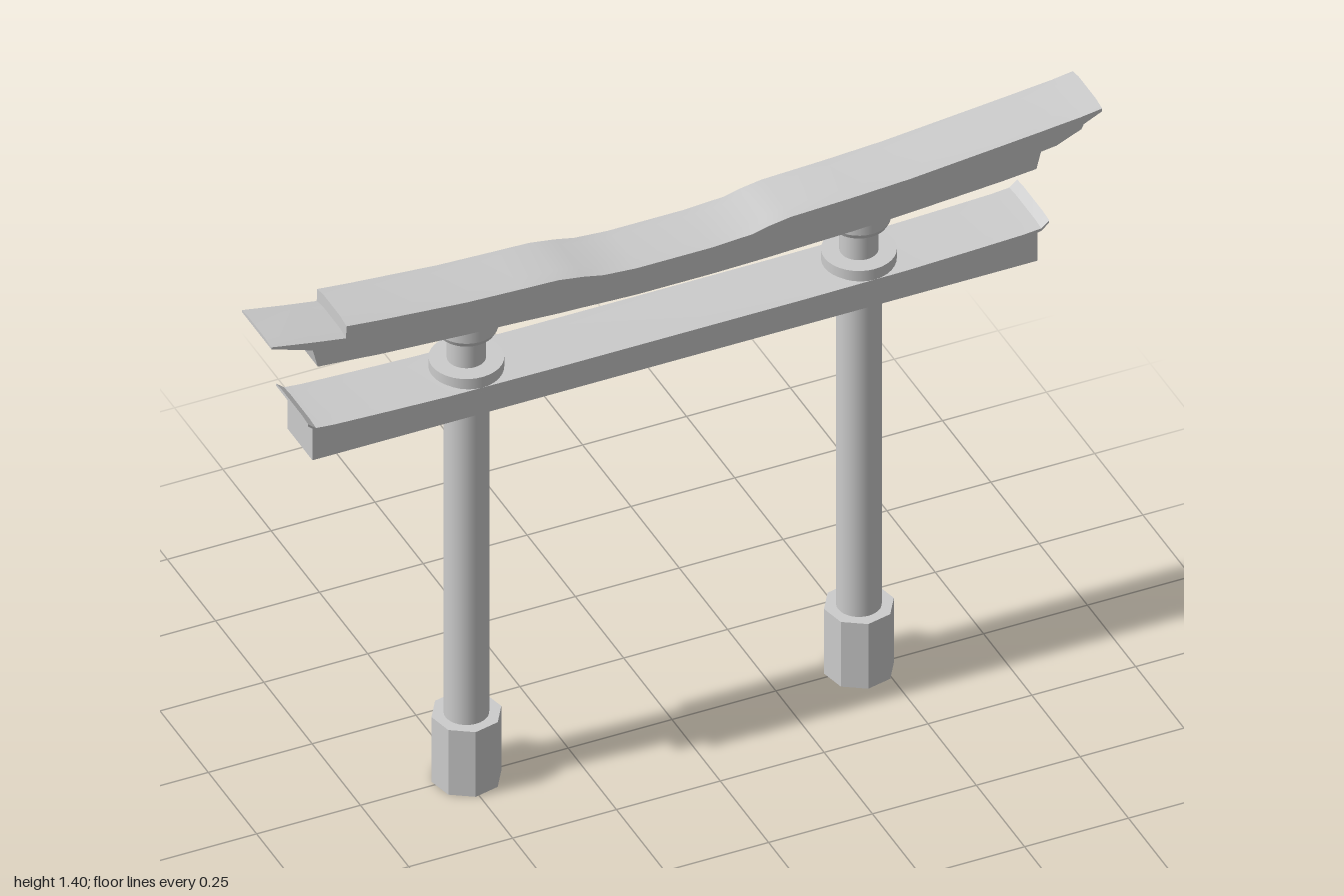
import * as THREE from 'three';
import { toCreasedNormals } from 'three/addons/utils/BufferGeometryUtils.js';

const material = new THREE.MeshStandardMaterial({ color: 0xcccccc });

function add(parent, name, geometry, x = 0, y = 0, z = 0) {
  const mesh = new THREE.Mesh(geometry, material);
  mesh.name = name;
  mesh.position.set(x, y, z);
  parent.add(mesh);
  return mesh;
}

// Lofts a beam along x from stations [x, top, bottom]; the top is slightly crowned.
function beam(stations, depth, crown) {
  const points = [];
  for (const [x, top, bottom] of stations) {
    const c = Math.min(crown, (top - bottom) / 2);
    const section = [
      [-depth, bottom], [depth, bottom], [depth, top - c], [depth * 0.6, top - c * 0.2],
      [-depth * 0.6, top - c * 0.2], [-depth, top - c],
    ];
    for (const [z, y] of section) points.push(x, y, z);
  }
  const n = 6, last = (stations.length - 1) * n, index = [];
  for (let i = 0; i < stations.length - 1; i++) {
    for (let j = 0; j < n; j++) {
      const a = i * n + j, b = i * n + (j + 1) % n;
      index.push(a, b + n, b, a, a + n, b + n);
    }
  }
  for (let k = 1; k < n - 1; k++) index.push(0, k, k + 1, last, last + k + 1, last + k);
  const geometry = new THREE.BufferGeometry();
  geometry.setAttribute('position', new THREE.Float32BufferAttribute(points, 3));
  geometry.setIndex(index);
  return toCreasedNormals(geometry, 0.6);
}

function cylinder(radius, bottom, top, sides = 32, start = 0, lower = radius) {
  const geometry = new THREE.CylinderGeometry(radius, lower, top - bottom, sides, 1, false, start);
  return geometry.translate(0, (top + bottom) / 2, 0);
}

export function createModel() {
  const model = new THREE.Group();
  model.name = 'gate';

  // Two posts, each with an octagonal foot, a collar, a neck and a capital
  for (const [side, x] of [['right', -0.495], ['left', 0.45]]) {
    const post = new THREE.Group();
    post.name = side + 'Post';
    post.position.x = x;
    model.add(post);
    const foot = cylinder(0.079, 0, 0.175, 8, THREE.MathUtils.degToRad(35)).toNonIndexed();
    foot.computeVertexNormals();
    add(post, 'foot', foot);
    add(post, 'column', cylinder(0.05, 0.17, 1.03));
    add(post, 'collar', cylinder(0.083, 1.095, 1.136));
    add(post, 'neck', cylinder(0.043, 1.13, 1.22));
    add(post, 'capitalBase', cylinder(0.07, 1.21, 1.222, 32, 0, 0.064));
    add(post, 'capital', cylinder(0.07, 1.222, 1.256));
  }

  // Lower tie beam and its thin upturned cap, symmetrical about their own middle
  const middle = -0.0225;
  const half = [
    [0.892, 1.142, 1.132], [0.873, 1.126, 1.115], [0.83, 1.122, 1.108],
    [0.7, 1.117, 1.102], [0.55, 1.112, 1.097], [0.3, 1.11, 1.093],
  ];
  const capStations = [
    ...half.map(([d, t, b]) => [middle - d, t, b]),
    ...half.map(([d, t, b]) => [middle + d, t, b]).reverse(),
  ];
  add(model, 'tieBeamCap', beam(capStations, 0.083, 0.004));
  const tieStations = capStations.slice(1, -1).map(([x, , b]) => [x, b + 0.003, 1.022]);
  add(model, 'tieBeam', beam(tieStations, 0.064, 0));

  // Top lintel with swept ends, a dip in the middle and a notch on its right end
  add(model, 'topLintel', beam([
    [-1, 1.373, 1.363], [-0.9, 1.358, 1.329], [-0.888, 1.356, 1.281],
    [-0.82, 1.345, 1.276], [-0.819, 1.377, 1.276], [-0.74, 1.369, 1.269],
    [-0.53, 1.352, 1.257], [-0.4, 1.347, 1.251], [-0.31, 1.344, 1.246],
    [-0.25, 1.335, 1.244], [-0.2, 1.324, 1.242], [-0.12, 1.318, 1.239],
    [0.06, 1.318, 1.239], [0.16, 1.324, 1.241], [0.2, 1.334, 1.242],
    [0.25, 1.342, 1.244], [0.4, 1.348, 1.249], [0.54, 1.356, 1.257],
    [0.76, 1.377, 1.273], [0.842, 1.385, 1.281], [0.853, 1.386, 1.324],
    [0.89, 1.39, 1.329], [0.95, 1.396, 1.355], [0.956, 1.397, 1.367], [1, 1.403, 1.388],
  ], 0.076, 0.008));

  return model;
}
